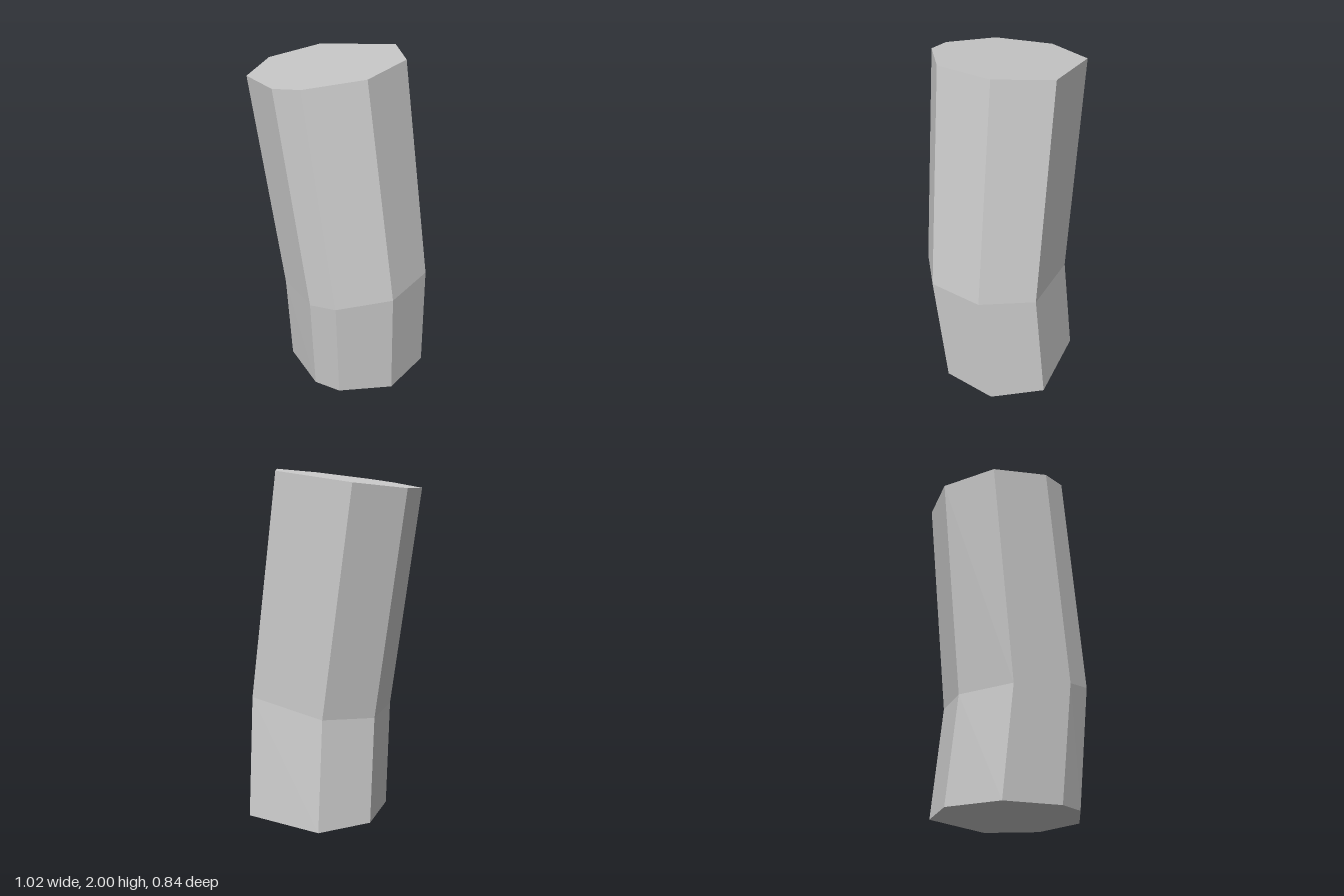
import * as THREE from 'three';

// Eight-sided cross-section [x, z], clockwise seen from above
const SECTION = [
  [-0.33, -0.357], [0.145, -0.357], [0.325, -0.085], [0.26, 0.24],
  [-0.01, 0.42], [-0.175, 0.42], [-0.445, 0.24], [-0.51, -0.085],
];

// Rings from bottom to top: shift of the section, height at x = 0, slope along x
const RINGS = [
  { dx: 0.17, dz: -0.065, y: 0, slope: 0 },
  { dx: 0.183, dz: 0, y: 0.652, slope: 0.144 },
  { dx: 0, dz: 0, y: 1.953, slope: 0.144 },
];

function ringPoints({ dx, dz, y, slope }) {
  return SECTION.map(([x, z]) => [x + dx, y + slope * (x + dx), z + dz]);
}

function bentPrism() {
  const n = SECTION.length;
  const index = [];
  // Side walls between neighbouring rings
  for (let r = 0; r < RINGS.length - 1; r++) {
    for (let i = 0; i < n; i++) {
      const a = r * n + i, b = r * n + (i + 1) % n;
      index.push(a, a + n, b + n, a, b + n, b);
    }
  }
  // Flat bottom and slanted top
  const top = (RINGS.length - 1) * n;
  for (let i = 1; i < n - 1; i++) {
    index.push(0, i, i + 1, top, top + i + 1, top + i);
  }
  const geometry = new THREE.BufferGeometry();
  geometry.setAttribute('position',
    new THREE.Float32BufferAttribute(RINGS.flatMap(ringPoints).flat(), 3));
  geometry.setIndex(index);
  const faceted = geometry.toNonIndexed();
  faceted.computeVertexNormals();
  return faceted;
}

export function createModel() {
  const group = new THREE.Group();
  group.name = 'bentColumn';
  const column = new THREE.Mesh(bentPrism(),
    new THREE.MeshStandardMaterial({ color: 0xcccccc, flatShading: true }));
  column.name = 'column';
  group.add(column);
  return group;
}
